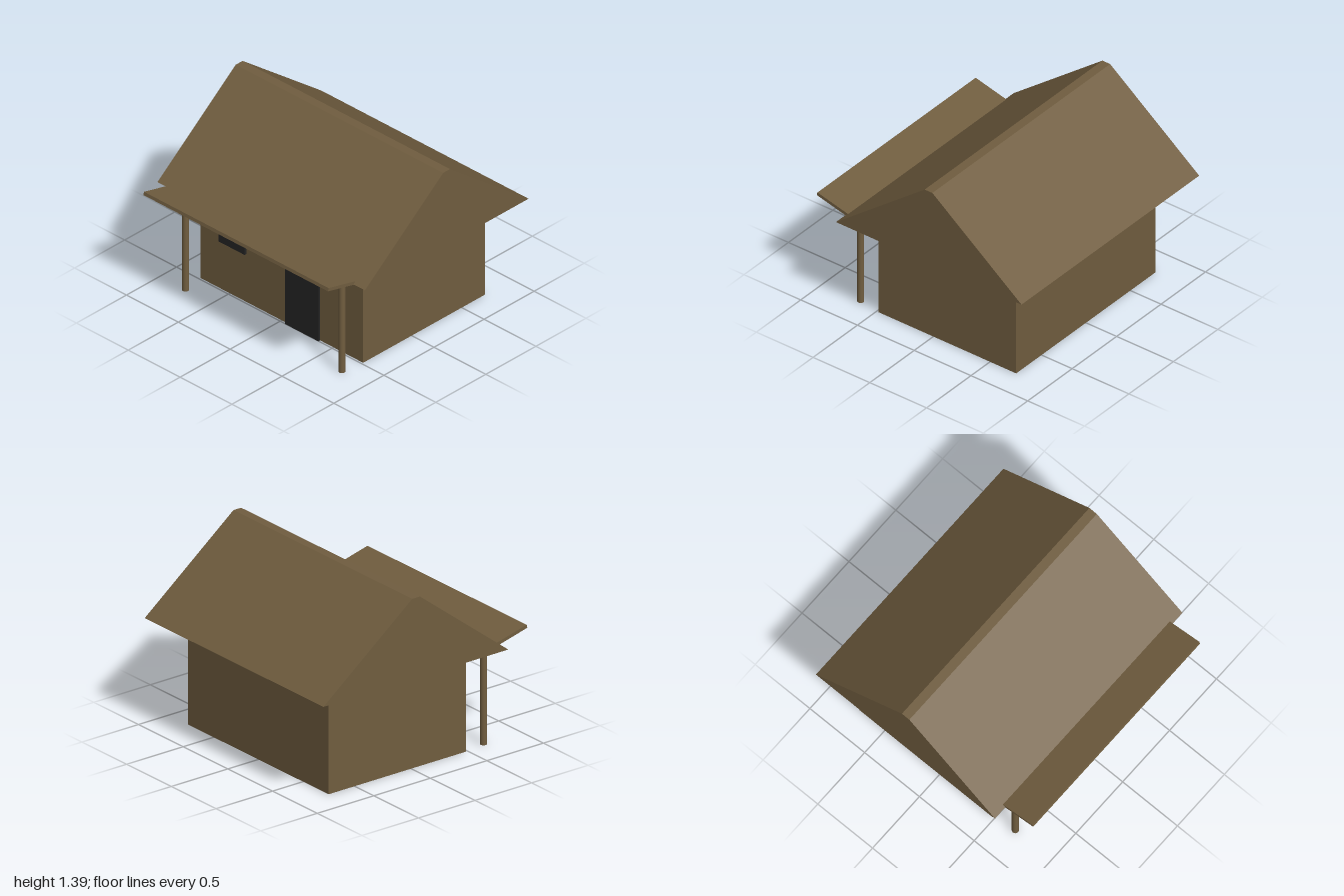
import * as THREE from 'three';

const timber = new THREE.MeshStandardMaterial({ color: 0x705d3f });
timber.name = 'brown timber';
const dark = new THREE.MeshStandardMaterial({ color: 0x242424 });
dark.name = 'dark opening';

export function createModel() {
  const model = new THREE.Group();
  model.name = 'hut';

  const add = (name, geometry, material, x, y, z) => {
    const mesh = new THREE.Mesh(geometry, material);
    mesh.name = name;
    mesh.position.set(x, y, z);
    model.add(mesh);
    return mesh;
  };
  // Box given by its minimum and maximum corners
  const box = (name, material, [x0, y0, z0], [x1, y1, z1]) =>
    add(name, new THREE.BoxGeometry(x1 - x0, y1 - y0, z1 - z0), material,
      (x0 + x1) / 2, (y0 + y1) / 2, (z0 + z1) / 2);

  box('walls', timber, [-0.785, 0, -0.73], [0.785, 0.79, 0.485]);

  // Gable roof with a narrow flat ridge; shape x becomes -z after turning
  const profile = new THREE.Shape([
    new THREE.Vector2(-0.69, 0.788),
    new THREE.Vector2(0.945, 0.788),
    new THREE.Vector2(0.16, 1.395),
    new THREE.Vector2(0.092, 1.395),
  ]);
  const roof = new THREE.ExtrudeGeometry(profile, { depth: 2, bevelEnabled: false });
  roof.translate(0, 0, -1).rotateY(Math.PI / 2);
  add('roof', roof, timber, 0, 0, 0);

  // Sloping porch canopy, higher at its front edge
  const canopy = add('porchCanopy', new THREE.BoxGeometry(1.78, 0.025, 0.42),
    timber, 0, 0.809, 0.738);
  canopy.rotation.x = -0.245;

  // Porch posts
  for (const [name, side] of [['leftPost', 1], ['rightPost', -1]]) {
    add(name, new THREE.CylinderGeometry(0.025, 0.025, 0.78, 24), timber,
      side * 0.754, 0.39, 0.665);
  }

  box('door', dark, [0.05, 0, 0.475], [0.37, 0.61, 0.503]);
  box('window', dark, [-0.59, 0.395, 0.475], [-0.34, 0.61, 0.503]);

  return model;
}
